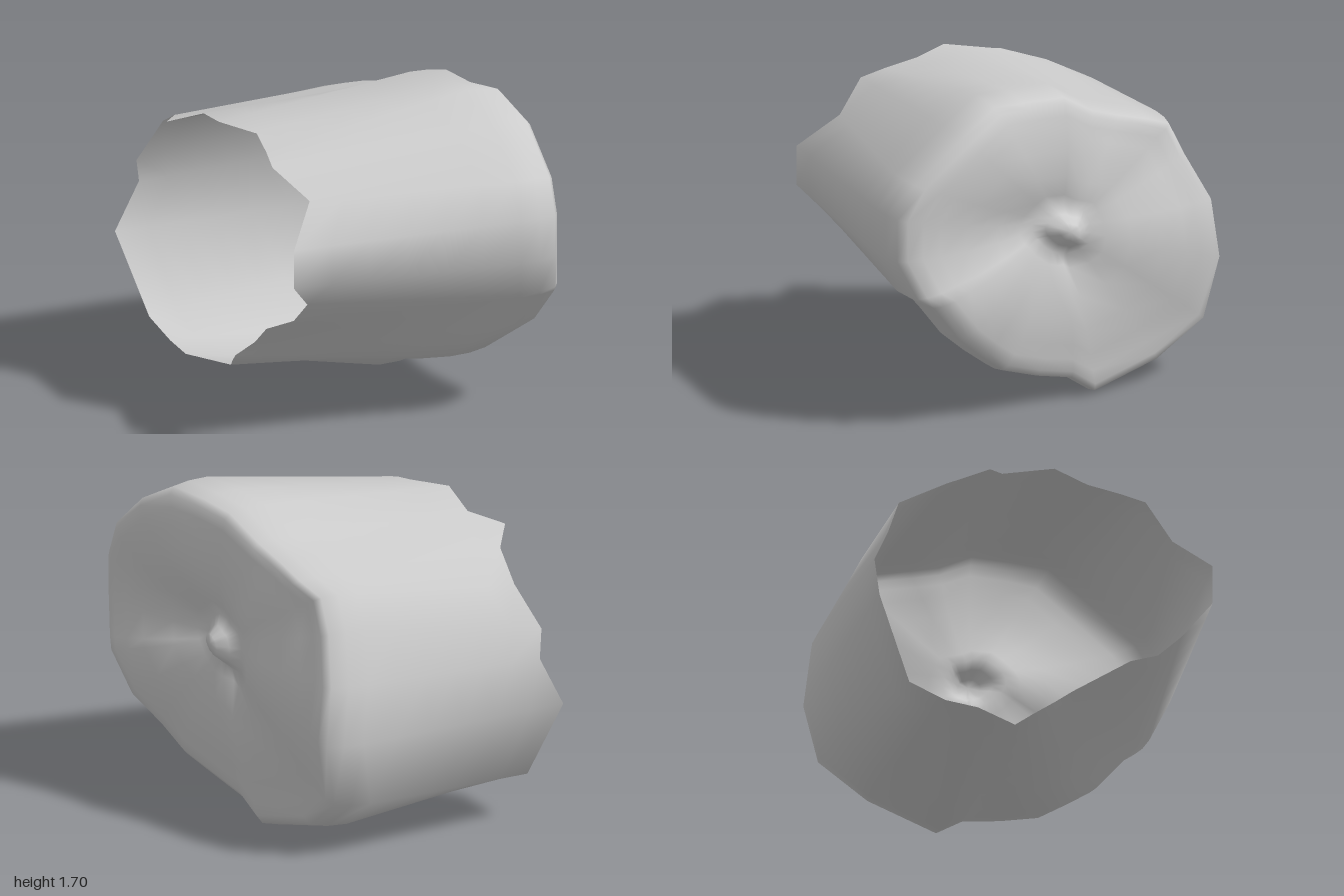
import * as THREE from 'three';
import { mergeVertices } from 'three/addons/utils/BufferGeometryUtils.js';

// Widest cross-section: [x of the closed end's rim, y, z]
const SECTION = [
  [0.71, 1.70, 0.40], [0.78, 1.58, 0.62], [0.79, 1.36, 0.90], [0.78, 1.18, 1.00],
  [0.78, 0.95, 1.00], [0.82, 0.74, 0.90], [0.85, 0.69, 0.82], [0.81, 0.48, 0.65],
  [0.72, 0.34, 0.48], [0.67, 0.23, 0.33], [0.60, 0.15, 0.10], [0.56, 0.10, -0.12],
  [0.53, 0.00, -0.27], [0.45, 0.10, -0.67], [0.45, 0.29, -0.94], [0.52, 0.64, -1.00],
  [0.48, 0.95, -0.97], [0.43, 1.20, -0.84], [0.43, 1.38, -0.75], [0.48, 1.44, -0.60],
  [0.50, 1.49, -0.42], [0.54, 1.55, -0.25], [0.61, 1.67, -0.05], [0.64, 1.68, 0.20],
];

// Torn mouth, station by station: [x, y, z]
const MOUTH = [
  [-0.61, 1.53, 0.40], [-0.63, 1.49, 0.53], [-0.50, 1.35, 0.71], [-0.66, 1.16, 0.88],
  [-0.66, 0.95, 0.88], [-0.53, 0.80, 0.75], [-0.55, 0.67, 0.62], [-0.63, 0.58, 0.45],
  [-0.57, 0.40, 0.16], [-0.63, 0.30, 0.05], [-0.60, 0.23, -0.06], [-0.57, 0.17, -0.15],
  [-0.72, 0.17, -0.39], [-0.73, 0.185, -0.57], [-0.76, 0.25, -0.77], [-0.87, 0.67, -0.96],
  [-0.74, 0.93, -0.95], [-0.78, 1.07, -0.89], [-0.67, 1.30, -0.80], [-0.71, 1.42, -0.56],
  [-0.84, 1.47, -0.36], [-0.68, 1.53, -0.25], [-0.71, 1.58, 0.02], [-0.59, 1.57, 0.23],
];

// Rounded shoulder: [scale, x offset from the rim]
const SHOULDER = [[1, -0.22], [0.995, -0.11], [0.975, -0.02], [0.93, 0.01], [0.85, 0.02]];
// End face: [scale, blend from rim towards the centre, x at the centre]
const FACE = [
  [0.75, 0.15, 0.70], [0.6, 0.32, 0.70], [0.4, 0.65, 0.65], [0.25, 0.9, 0.62],
  [0.17, 0.96, 0.60], [0.11, 1, 0.64], [0.06, 1, 0.69], [0, 1, 0.70],
];
const CY = 0.96, CZ = -0.04;
const WALL_STEPS = 6;
const { lerp } = THREE.MathUtils;

// Small crease beside the centre knob
const dent = (y, z) => 0.06 * Math.exp(-((y - 0.75) ** 2 + (z + 0.1) ** 2) / 0.006);

// Section point pulled towards the centre of the end face
const inset = (y, z, s) => [CY + (y - CY) * s, CZ + (z - CZ) * s];

function buildRings() {
  const rings = [];
  // Side wall from the jagged mouth to the shoulder
  for (let i = 0; i < WALL_STEPS; i++) {
    const t = i / WALL_STEPS;
    rings.push(SECTION.map(([rim, y, z], j) => {
      const [mx, my, mz] = MOUTH[j];
      return [lerp(mx, rim + SHOULDER[0][1], t), lerp(my, y, t), lerp(mz, z, t)];
    }));
  }
  // Soft shoulder
  for (const [s, dx] of SHOULDER) {
    rings.push(SECTION.map(([rim, y, z]) => [rim + dx, ...inset(y, z, s)]));
  }
  // Slanted end face with its sunken centre and knob
  for (const [s, blend, cx] of FACE) {
    rings.push(SECTION.map(([rim, y, z]) => {
      const [py, pz] = inset(y, z, s);
      return [lerp(rim + 0.02, cx, blend) - dent(py, pz), py, pz];
    }));
  }
  return rings;
}

// Closed loops joined into one smooth skin, ending in a point
function skin(rings) {
  const n = SECTION.length, index = [];
  for (let i = 0; i < rings.length - 1; i++) {
    for (let j = 0; j < n; j++) {
      const a = i * n + j, b = i * n + (j + 1) % n, c = a + n, d = b + n;
      index.push(a, b, c);
      if (i < rings.length - 2) index.push(b, d, c);
    }
  }
  const geo = new THREE.BufferGeometry();
  geo.setAttribute('position', new THREE.Float32BufferAttribute(rings.flat(2), 3));
  geo.setIndex(index);
  const merged = mergeVertices(geo, 1e-5);
  merged.computeVertexNormals();
  return merged;
}

export function createModel() {
  const group = new THREE.Group();
  group.name = 'tornSleeve';
  const material = new THREE.MeshStandardMaterial({ color: 0xcccccc, side: THREE.DoubleSide });
  const shell = new THREE.Mesh(skin(buildRings()), material);
  shell.name = 'closedEndShell';
  group.add(shell);
  return group;
}
